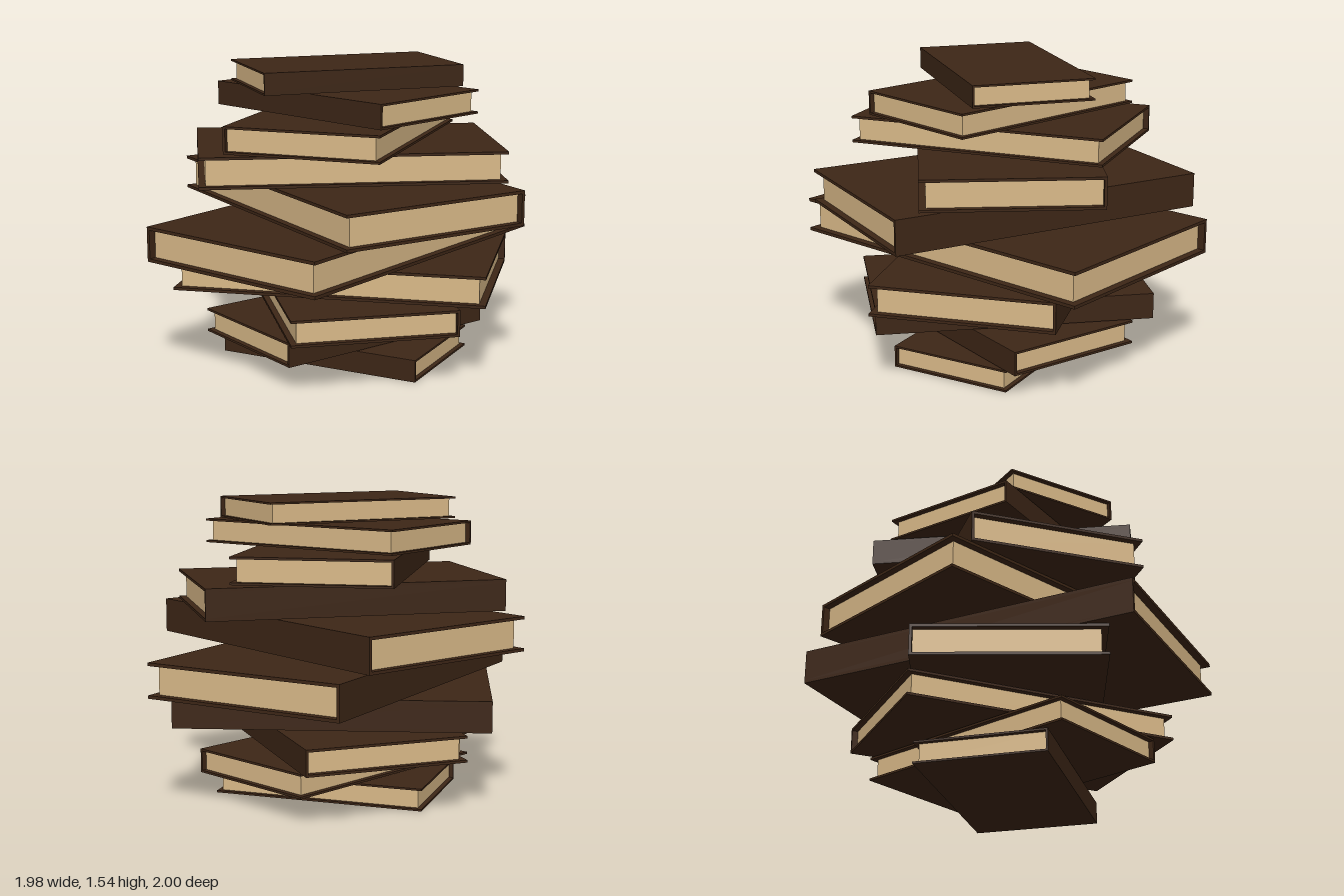
import * as THREE from 'three';

const coverMaterial = new THREE.MeshStandardMaterial({ color: 0x3d2616 });
const pageMaterial = new THREE.MeshStandardMaterial({ color: 0xd9b988 });

// bottom, top, length along the spine, depth, direction the spine faces (degrees from +z)
const books = [
  [0.0, 0.115, 1.11, 0.66, 0],
  [0.125, 0.25, 1.266, 0.742, 64.4],
  [0.26, 0.395, 1.426, 0.842, 129],
  [0.407, 0.567, 1.595, 0.935, 194.7],
  [0.58, 0.76, 1.822, 1.088, -101.6],
  [0.785, 0.963, 1.7, 1.024, 148.2],
  [0.977, 1.137, 1.531, 0.885, 213.1],
  [1.15, 1.287, 1.332, 0.798, -82.2],
  [1.297, 1.42, 1.178, 0.715, -17.9],
  [1.43, 1.54, 1.047, 0.615, 46.3],
];

function addBox(parent, name, size, position, material) {
  const mesh = new THREE.Mesh(new THREE.BoxGeometry(...size), material);
  mesh.name = name;
  mesh.position.set(...position);
  parent.add(mesh);
}

// A hardcover lying flat, spine towards +z
function createBook(length, depth, height) {
  const book = new THREE.Group();
  const board = length * 0.009;
  const overhang = length * 0.0215;
  const inner = height - 2 * board;

  addBox(book, 'bottomCover', [length, board, depth], [0, board / 2, 0], coverMaterial);
  addBox(book, 'topCover', [length, board, depth], [0, height - board / 2, 0], coverMaterial);
  addBox(book, 'spine', [length, inner, board], [0, height / 2, depth / 2 - board / 2], coverMaterial);

  // page block, set back from the three open edges
  const pageDepth = depth - board - overhang;
  addBox(book, 'pages', [length - 2 * overhang, inner, pageDepth],
    [0, height / 2, (overhang - board) / 2], pageMaterial);
  return book;
}

export function createModel() {
  const stack = new THREE.Group();
  stack.name = 'bookStack';
  books.forEach(([bottom, top, length, depth, angle], i) => {
    const book = createBook(length, depth, top - bottom);
    book.name = `book${i + 1}`;
    book.position.y = bottom;
    book.rotation.y = THREE.MathUtils.degToRad(angle);
    stack.add(book);
  });
  return stack;
}
